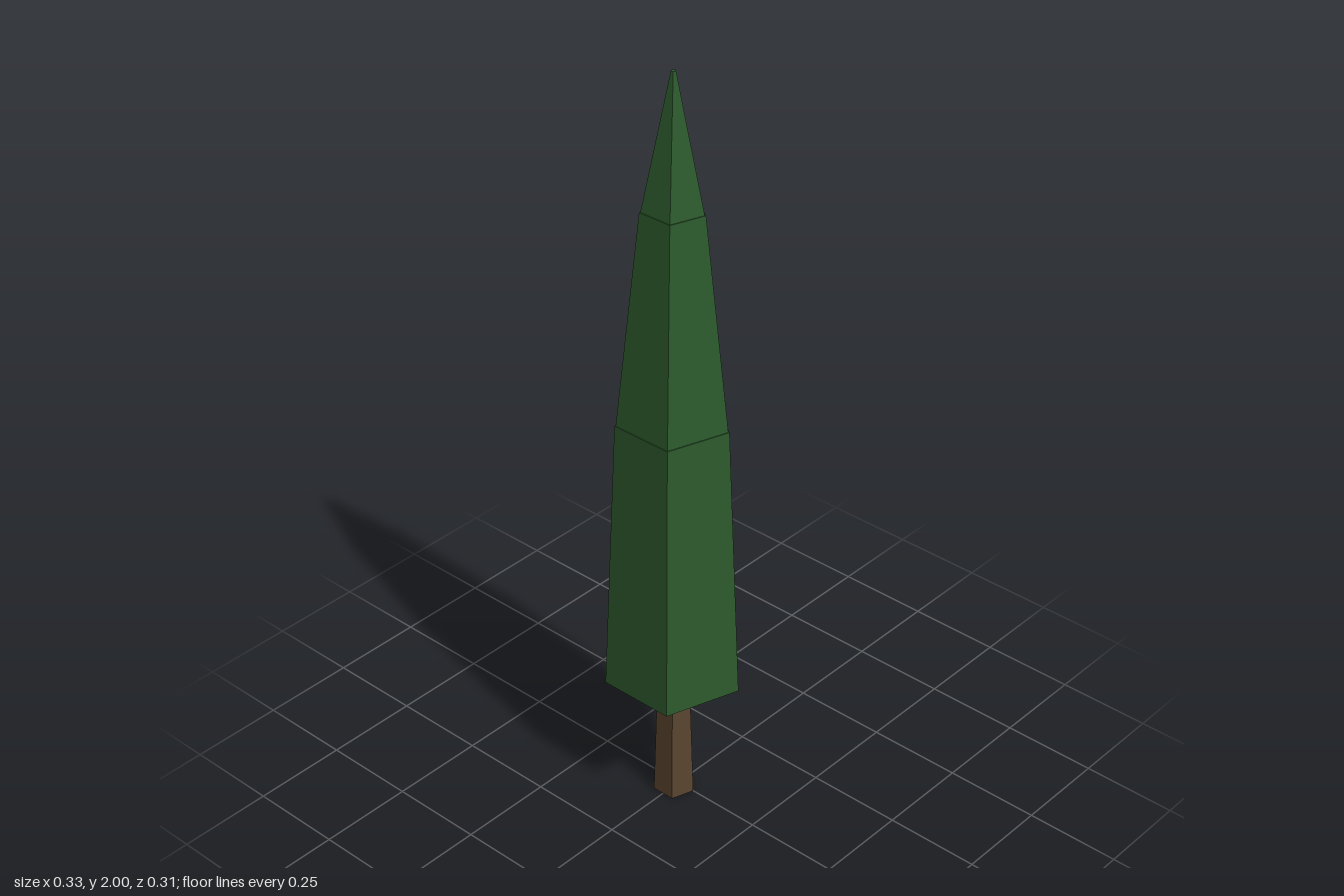
import * as THREE from 'three';

export function createModel() {
  const tree = new THREE.Group();
  tree.name = 'coniferTree';
  const leafGreen = new THREE.MeshStandardMaterial({ color: 0x2d5a2d, flatShading: true });
  leafGreen.name = 'leafGreen';
  const barkBrown = new THREE.MeshStandardMaterial({ color: 0x5a4530, flatShading: true });
  barkBrown.name = 'barkBrown';

  // Five-sided tapered section with a flat side to the front
  function section(name, material, y0, y1, r0, r1) {
    const geometry = new THREE.CylinderGeometry(r1, r0, y1 - y0, 5);
    geometry.rotateY(Math.PI);
    const mesh = new THREE.Mesh(geometry, material);
    mesh.name = name;
    mesh.position.set(0, (y0 + y1) / 2, 0.0165);
    tree.add(mesh);
  }

  section('trunk', barkBrown, 0, 0.36, 0.053, 0.042);

  // Foliage tiers, each starting just inside the one below
  section('lowerFoliage', leafGreen, 0.36, 1.107, 0.174, 0.142);
  section('middleFoliage', leafGreen, 1.107, 1.662, 0.139, 0.079);
  section('upperFoliage', leafGreen, 1.662, 2, 0.076, 0.006);

  return tree;
}
